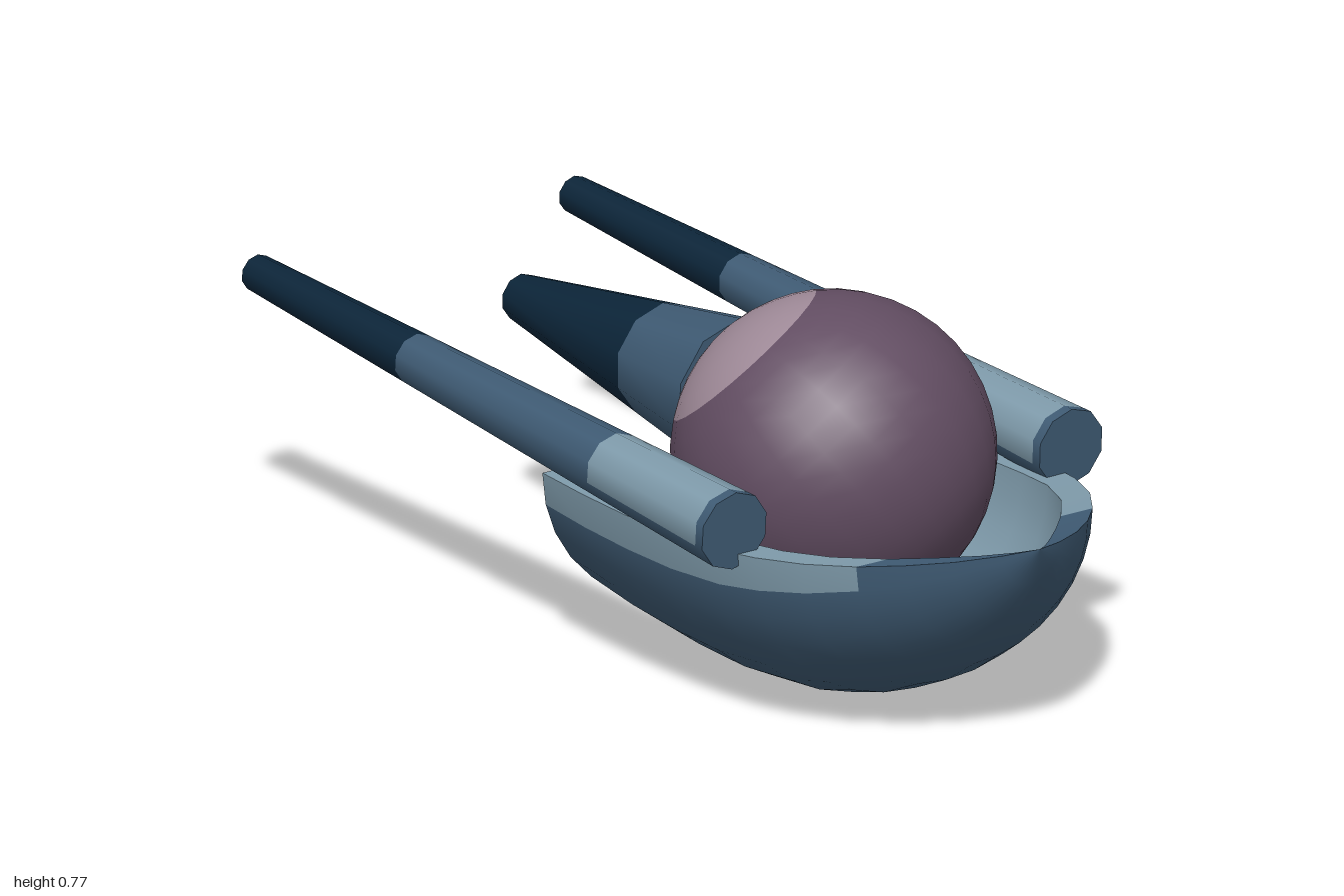
import * as THREE from 'three';

const mat = (name, color) => new THREE.MeshStandardMaterial({ name, color });
const lightBlue = mat('light steel blue', 0x7f9bab);
const midBlue = mat('slate blue', 0x3f5b74);
const darkBlue = mat('dark navy', 0x0c2539);
const mauve = mat('mauve', 0x624d62);
const paleMauve = mat('pale mauve', 0x9f8a98);

// Hull stations: z, outer half width, rim height, keel height, inner half width, floor height
const STATIONS = [
  [-0.06, 0.405, 0.38, 0.045, 0.34, 0.12],
  [0.08, 0.415, 0.377, 0.022, 0.34, 0.095],
  [0.22, 0.42, 0.375, 0.007, 0.34, 0.08],
  [0.36, 0.42, 0.375, 0, 0.34, 0.075],
  [0.5, 0.41, 0.378, 0.01, 0.337, 0.085],
  [0.6, 0.39, 0.384, 0.036, 0.322, 0.11],
  [0.7, 0.35, 0.39, 0.08, 0.28, 0.155],
  [0.79, 0.288, 0.396, 0.138, 0.21, 0.215],
  [0.86, 0.223, 0.404, 0.2, 0.145, 0.275],
  [0.92, 0.15, 0.412, 0.272, 0.085, 0.335],
  [0.97, 0.07, 0.422, 0.35, 0.035, 0.395],
  [1, 0, 0.43, 0.43, 0, 0.43],
];
const BOW = 7; // station where the painted bow starts

// Grid of points whose faces point along (step i) x (step j); colour chosen per cell
function gridMesh(name, ni, nj, point, isLight) {
  const pos = [], cells = [[], []];
  for (let i = 0; i <= ni; i++) for (let j = 0; j <= nj; j++) pos.push(...point(i, j));
  for (let i = 0; i < ni; i++) {
    for (let j = 0; j < nj; j++) {
      const a = i * (nj + 1) + j, b = a + nj + 1;
      cells[isLight(i, j) ? 0 : 1].push(a, b, a + 1, b, b + 1, a + 1);
    }
  }
  const geo = new THREE.BufferGeometry();
  geo.setAttribute('position', new THREE.Float32BufferAttribute(pos, 3));
  geo.setIndex([...cells[0], ...cells[1]]);
  geo.addGroup(0, cells[0].length, 0);
  geo.addGroup(cells[0].length, cells[1].length, 1);
  geo.computeVertexNormals();
  const mesh = new THREE.Mesh(geo, [lightBlue, midBlue]);
  mesh.name = name;
  return mesh;
}

function makeHull() {
  const hull = new THREE.Group();
  hull.name = 'hull';
  // Angles from the left rim under the keel to the right rim, with a narrow first and last strip
  const angles = [0];
  for (let k = 0; k <= 14; k++) angles.push(0.2 + (Math.PI - 0.4) * k / 14);
  angles.push(Math.PI);
  const n = angles.length - 1, rows = STATIONS.length - 1;
  const outer = (i, j) => {
    const [z, w, rim, keel] = STATIONS[i];
    return [w * Math.cos(angles[j]), rim - (rim - keel) * Math.sin(angles[j]), z];
  };
  const inner = (i, j) => {
    const [z, , rim, , w, floor] = STATIONS[i];
    return [w * Math.cos(angles[j]), rim - (rim - floor) * Math.sin(angles[j]), z];
  };
  const aft = (i) => i < BOW;
  hull.add(
    gridMesh('outerHull', rows, n, outer, (i, j) => aft(i) && (j === 0 || j === n - 1)),
    gridMesh('innerHull', rows, n, (i, j) => inner(i, n - j), aft),
    gridMesh('leftRim', rows, 1, (i, j) => (j ? outer : inner)(i, 0), aft),
    gridMesh('rightRim', rows, 1, (i, j) => (j ? inner : outer)(i, n), aft),
    gridMesh('sternEdge', n, 1, (i, j) => (j ? inner : outer)(0, i), () => false),
  );
  return hull;
}

// Tapered tube from one point to another; bands are [start, end, material, lower material]
function taperedTube(name, from, to, r0, r1, sides, bands) {
  const group = new THREE.Group();
  group.name = name;
  const axis = to.clone().sub(from), length = axis.length();
  const radius = (t) => r0 + (r1 - r0) * t;
  const add = (part, geo, y, material) => {
    const mesh = new THREE.Mesh(geo, material);
    mesh.name = part;
    mesh.position.y = y;
    group.add(mesh);
    return mesh;
  };
  const step = 2 * Math.PI / sides;
  for (const [a, b, upper, lower] of bands) {
    const piece = (part, start, count, material) => add(part,
      new THREE.CylinderGeometry(radius(b), radius(a), (b - a) * length, count, 1, true, start * step, count * step),
      (a + b) / 2 * length, material);
    if (lower) {
      piece('upperBand', -3, 6, upper);
      piece('lowerBand', 3, sides - 6, lower);
    } else piece('band', 0, sides, upper);
  }
  const turn = Math.PI / 2;
  add('frontCap', new THREE.CircleGeometry(r0, sides, turn), 0, midBlue).rotation.x = Math.PI / 2;
  add('rearCap', new THREE.CircleGeometry(r1, sides, turn), length, bands.at(-1)[2]).rotation.x = -Math.PI / 2;
  group.position.copy(from);
  group.quaternion.setFromUnitVectors(new THREE.Vector3(0, 1, 0), axis.normalize());
  return group;
}

export function createModel() {
  const model = new THREE.Group();
  model.add(makeHull());

  // Ball with a pale round patch at its tilted pole
  const ball = new THREE.Group();
  ball.name = 'ball';
  const patchAngle = 0.63;
  const body = new THREE.Mesh(
    new THREE.SphereGeometry(0.318, 24, 16, 0, Math.PI * 2, patchAngle, Math.PI - patchAngle), mauve);
  body.name = 'ballBody';
  const patch = new THREE.Mesh(
    new THREE.SphereGeometry(0.318, 24, 5, 0, Math.PI * 2, 0, patchAngle), paleMauve);
  patch.name = 'ballPatch';
  ball.add(body, patch);
  ball.position.set(0, 0.448, 0.34);
  ball.quaternion.setFromUnitVectors(new THREE.Vector3(0, 1, 0),
    new THREE.Vector3(-0.46, 0.73, -0.5).normalize());
  model.add(ball);

  // Long side tubes
  for (const [side, s] of [['left', 1], ['right', -1]]) {
    model.add(taperedTube(side + 'Tube',
      new THREE.Vector3(s * 0.41, 0.432, 0.56), new THREE.Vector3(s * 0.386, 0.53, -0.998),
      0.08, 0.037, 10,
      [[0, 0.015, midBlue], [0.015, 0.25, lightBlue, midBlue], [0.25, 0.667, midBlue], [0.667, 1, darkBlue]]));
  }

  // Tail cone behind the ball
  model.add(taperedTube('tailCone',
    new THREE.Vector3(0, 0.487, 0.04), new THREE.Vector3(0, 0.492, -0.66),
    0.153, 0.047, 10, [[0, 0.35, midBlue], [0.35, 1, darkBlue]]));

  return model;
}
